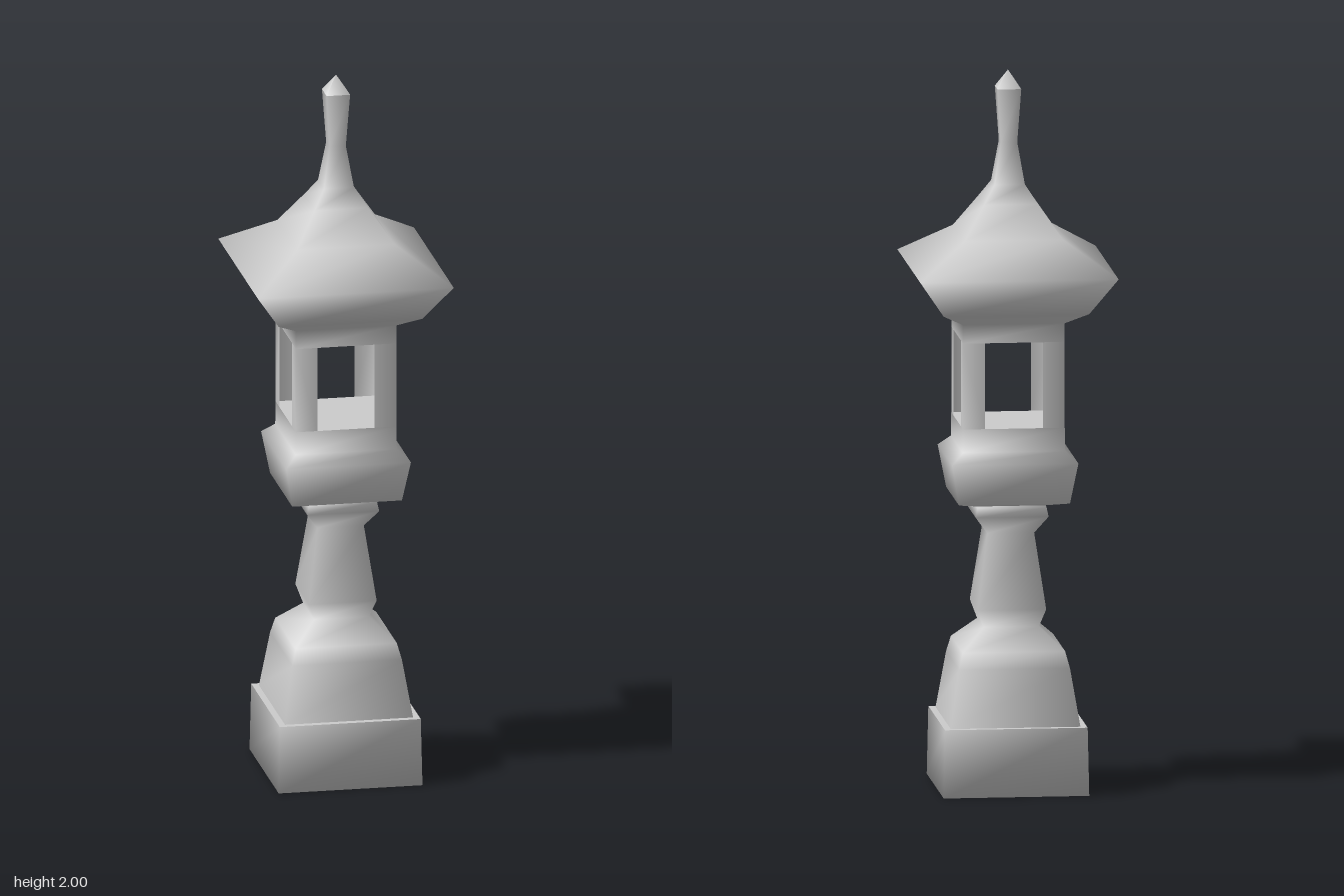
import * as THREE from 'three';

const Z_RATIO = 1.043; // plan is slightly deeper than wide
const CORNERS = [[1, 1], [1, -1], [-1, -1], [-1, 1]];
const material = new THREE.MeshStandardMaterial({ color: 0xcccccc, side: THREE.DoubleSide });

function meshFrom(name, positions, index) {
  const geometry = new THREE.BufferGeometry();
  geometry.setAttribute('position', new THREE.Float32BufferAttribute(positions, 3));
  geometry.setIndex(index);
  geometry.computeVertexNormals();
  const mesh = new THREE.Mesh(geometry, material);
  mesh.name = name;
  return mesh;
}

// Square loft through [halfWidth, y] rings; caps are 'sharp', 'smooth' or absent
function squareLoft(name, profile, { bottom, top } = {}) {
  const positions = [];
  const index = [];
  const addRing = ([w, y]) => {
    const start = positions.length / 3;
    for (const [x, z] of CORNERS) positions.push(x * w, y, z * w * Z_RATIO);
    return start;
  };
  const rings = profile.map(addRing);
  for (let i = 0; i < rings.length - 1; i++) {
    for (let j = 0; j < 4; j++) {
      const k = (j + 1) % 4;
      const a = rings[i] + j, b = rings[i] + k, c = rings[i + 1] + k, d = rings[i + 1] + j;
      index.push(a, b, c);
      if (profile[i + 1][0] > 0) index.push(a, c, d);
    }
  }
  if (bottom) {
    const s = bottom === 'smooth' ? rings[0] : addRing(profile[0]);
    index.push(s, s + 2, s + 1, s, s + 3, s + 2);
  }
  if (top) {
    const last = rings.length - 1;
    const s = top === 'smooth' ? rings[last] : addRing(profile[last]);
    index.push(s, s + 1, s + 2, s, s + 2, s + 3);
  }
  return meshFrom(name, positions, index);
}

// Thin angled corner post between two neighbouring windows
function cornerPost(sx, sz, half, opening, y0, y1) {
  const depth = half * Z_RATIO;
  const plan = [[opening, depth], [half, depth], [half, opening * 1.1]];
  const positions = [];
  for (const y of [y0, y1]) for (const [x, z] of plan) positions.push(sx * x, y, sz * z);
  const index = [];
  for (let i = 0; i < 2; i++) {
    const a = i, b = i + 1, c = i + 4, d = i + 3;
    if (sx * sz > 0) index.push(a, b, c, a, c, d);
    else index.push(a, c, b, a, d, c);
  }
  return meshFrom('cornerPost', positions, index);
}

export function createModel() {
  const lantern = new THREE.Group();
  lantern.name = 'stoneLantern';

  // Plinth
  lantern.add(squareLoft('base', [[0.202, 0], [0.198, 0.19]], { bottom: 'smooth', top: 'sharp' }));

  // Stepped foot and waisted shaft
  lantern.add(squareLoft('pedestal', [
    [0.18, 0.19], [0.154, 0.35], [0.142, 0.395], [0.077, 0.455],
    [0.095, 0.505], [0.065, 0.715], [0.101, 0.765], [0.096, 0.79], [0.09, 0.805],
  ]));

  // Flared platform, rising to the sill and the chamber floor
  lantern.add(squareLoft('platform', [
    [0.09, 0.795], [0.154, 0.81], [0.175, 0.925], [0.142, 0.955], [0.141, 1.02],
  ], { bottom: 'smooth', top: 'sharp' }));

  // Open light chamber
  const chamber = new THREE.Group();
  chamber.name = 'lightChamber';
  for (const [sx, sz] of CORNERS) chamber.add(cornerPost(sx, sz, 0.141, 0.08, 1.02, 1.26));
  lantern.add(chamber);

  // Lintel band, flared eaves, concave roof and spire
  lantern.add(squareLoft('roof', [
    [0.141, 1.26], [0.141, 1.312], [0.202, 1.347], [0.275, 1.455], [0.137, 1.545],
    [0.075, 1.635], [0.042, 1.685], [0.023, 1.8], [0.033, 1.95],
  ], { bottom: 'sharp' }));

  // Pointed cap of the spire
  lantern.add(squareLoft('finial', [[0.033, 1.95], [0, 2]]));

  return lantern;
}
